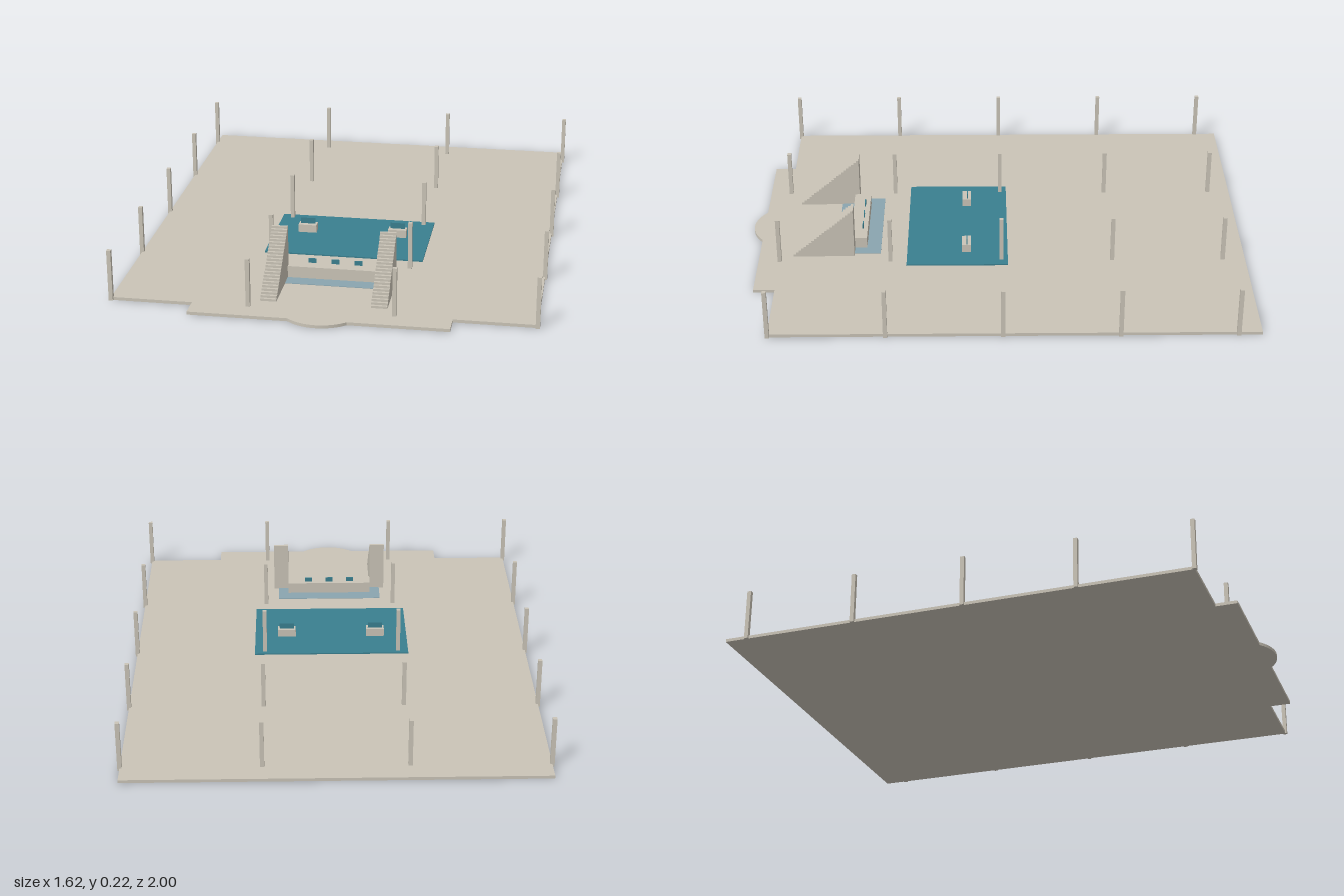
import * as THREE from 'three';

const FLOOR = 0.012;

export function createModel() {
  const model = new THREE.Group();
  model.name = 'lobby';

  const mat = (name, color) => {
    const m = new THREE.MeshStandardMaterial({ color });
    m.name = name;
    return m;
  };
  const stone = mat('warm stone', 0xcac4b7);
  const teal = mat('teal', 0x3a7f8f);
  const paleBlue = mat('pale blue', 0x8aa5af);

  const add = (name, geometry, material, parent = model) => {
    const mesh = new THREE.Mesh(geometry, material);
    mesh.name = name;
    parent.add(mesh);
    return mesh;
  };
  // Box given by its centre in x and z and the height of its underside
  const box = (name, material, w, h, d, x, y, z, parent) => {
    const mesh = add(name, new THREE.BoxGeometry(w, h, d), material, parent);
    mesh.position.set(x, y + h / 2, z);
    return mesh;
  };

  // Floor slab with a stepped entrance and a curved doorstep (shape y = -z)
  const plan = new THREE.Shape();
  plan.moveTo(-0.802, 1);
  plan.lineTo(-0.802, -0.873);
  plan.lineTo(-0.49, -0.873);
  plan.lineTo(-0.49, -0.957);
  plan.lineTo(-0.11, -0.957);
  const rise = 0.043;
  const radius = (0.11 * 0.11 + rise * rise) / (2 * rise);
  const half = Math.asin(0.11 / radius);
  plan.absarc(0, -1 + radius, radius, -Math.PI / 2 - half, -Math.PI / 2 + half, false);
  plan.lineTo(0.49, -0.957);
  plan.lineTo(0.49, -0.873);
  plan.lineTo(0.802, -0.873);
  plan.lineTo(0.802, 1);
  const slab = new THREE.ExtrudeGeometry(plan, { depth: FLOOR, bevelEnabled: false, curveSegments: 20 });
  slab.rotateX(-Math.PI / 2);
  add('floorSlab', slab, stone);

  // Floor panels
  box('tealCarpet', teal, 0.634, 0.005, 0.406, 0, FLOOR, 0.158);
  box('receptionMat', paleBlue, 0.442, 0.002, 0.18, 0, FLOOR, 0.558);

  // Grid of columns
  const columns = new THREE.Group();
  columns.name = 'columns';
  model.add(columns);
  for (const x of [-0.802, -0.275, 0.275, 0.802]) {
    for (let row = 0; row < 5; row++) {
      box('column', stone, 0.016, 0.203, 0.016, x, 0, -0.91 + row * 0.4455, columns);
    }
  }

  // Solid stair flights rising towards the back
  const steps = 23, front = 0.82, back = 0.573, top = 0.22;
  const profile = new THREE.Shape();
  profile.moveTo(back, FLOOR);
  profile.lineTo(front, FLOOR);
  for (let i = 0; i < steps; i++) {
    const y = FLOOR + ((i + 1) / steps) * (top - FLOOR);
    profile.lineTo(front - (i / steps) * (front - back), y);
    profile.lineTo(front - ((i + 1) / steps) * (front - back), y);
  }
  profile.closePath();
  const flight = new THREE.ExtrudeGeometry(profile, { depth: 0.062, bevelEnabled: false });
  flight.rotateY(-Math.PI / 2); // profile x -> z, depth -> -x
  flight.translate(0.031, 0, 0);
  for (const side of [-1, 1]) {
    add(side > 0 ? 'leftStair' : 'rightStair', flight, stone).position.x = side * 0.21;
  }

  // Reception desk with three screens
  box('receptionDesk', stone, 0.358, 0.06 - FLOOR, 0.067, 0, FLOOR, 0.558);
  for (const x of [-0.09, 0, 0.09]) {
    box('receptionScreen', teal, 0.03, 0.018, 0.004, x, 0.06, 0.544);
  }

  // Two small desks on the carpet, each with a wide screen
  for (const x of [-0.185, 0.185]) {
    box('smallDesk', stone, 0.074, 0.033, 0.036, x, 0.016, 0.122);
    box('smallDeskScreen', teal, 0.06, 0.024, 0.004, x, 0.049, 0.119);
  }

  return model;
}
